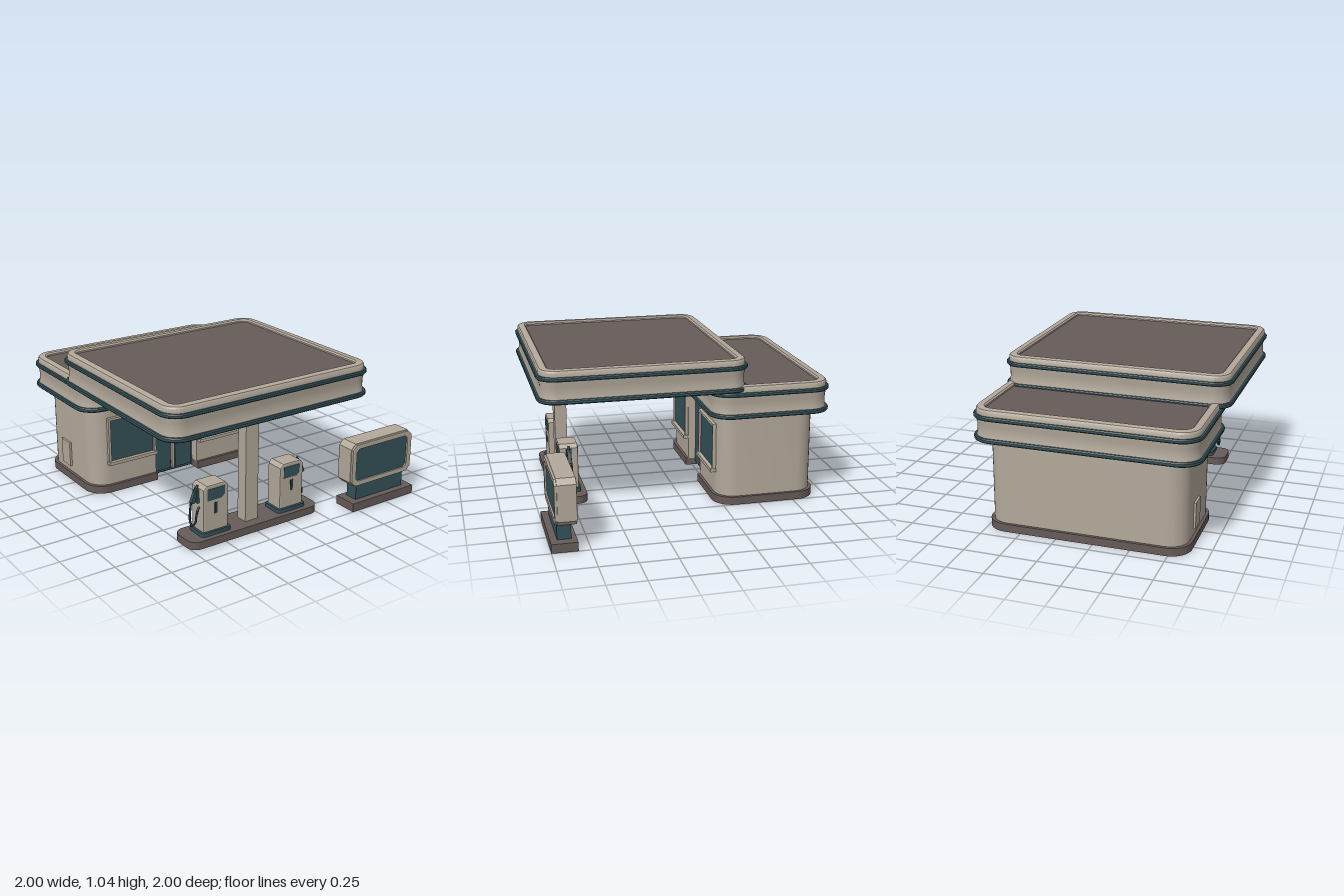
import * as THREE from 'three';
import { toCreasedNormals } from 'three/addons/utils/BufferGeometryUtils.js';

const mat = (name, color, double) => {
  const m = new THREE.MeshStandardMaterial({ color });
  m.name = name;
  if (double) m.side = THREE.DoubleSide;
  return m;
};

export function createModel() {
  const cream = mat('cream', 0xb3a99b);
  const teal = mat('teal', 0x345259);
  const grey = mat('warmGrey', 0x665b58);
  const dark = mat('darkTeal', 0x20343a);
  const root = new THREE.Group();
  root.name = 'fuelStation';

  const add = (parent, name, geo, material, x = 0, y = 0, z = 0) => {
    const m = new THREE.Mesh(geo, material);
    m.name = name;
    m.position.set(x, y, z);
    parent.add(m);
    return m;
  };
  // Box given by its limits
  const box = (parent, name, material, x0, x1, y0, y1, z0, z1) =>
    add(parent, name, new THREE.BoxGeometry(x1 - x0, y1 - y0, z1 - z0), material,
      (x0 + x1) / 2, (y0 + y1) / 2, (z0 + z1) / 2);

  // Outline of a rounded rectangle in plan, with outward normals
  const outline = ({ x0, x1, z0, z1, r }) => {
    const pts = [];
    [[x1 - r, z0 + r], [x0 + r, z0 + r], [x0 + r, z1 - r], [x1 - r, z1 - r]].forEach(([cx, cz], q) => {
      for (let i = 0; i <= 8; i++) {
        const a = (q + i / 8) * Math.PI / 2, nx = Math.cos(a), nz = -Math.sin(a);
        pts.push({ x: cx + r * nx, z: cz + r * nz, nx, nz });
      }
    });
    return pts;
  };

  // Sweep a profile of [outset, y] around a rounded rectangle
  const sweep = (parent, name, material, plan, profile) => {
    const pts = outline(plan), n = pts.length, k = profile.length, pos = [], idx = [];
    for (const p of pts) for (const [o, y] of profile) pos.push(p.x + p.nx * o, y, p.z + p.nz * o);
    for (let i = 0; i < n; i++) for (let j = 0; j < k - 1; j++) {
      const a = i * k + j, b = ((i + 1) % n) * k + j;
      idx.push(a, b, a + 1, b, b + 1, a + 1);
    }
    const g = new THREE.BufferGeometry();
    g.setAttribute('position', new THREE.Float32BufferAttribute(pos, 3));
    g.setIndex(idx);
    return add(parent, name, toCreasedNormals(g, 0.6), material);
  };

  // Upright slab with rounded plan and an optional notch in its front edge
  const slab = (parent, name, material, plan, y0, y1, notch) => {
    const pts = outline(plan).map(p => new THREE.Vector2(p.x, -p.z));
    if (notch) {
      const [a, b, z] = notch;
      pts.splice(27, 0, new THREE.Vector2(a, -plan.z1), new THREE.Vector2(a, -z),
        new THREE.Vector2(b, -z), new THREE.Vector2(b, -plan.z1));
    }
    const g = new THREE.ExtrudeGeometry(new THREE.Shape(pts), { depth: y1 - y0, bevelEnabled: false });
    g.rotateX(-Math.PI / 2);
    return add(parent, name, toCreasedNormals(g, 0.6), material, 0, y0, 0);
  };

  // Rectangle with cut corners, centred on the origin
  const cutRect = (w, h, c, cb = c, Type = THREE.Shape) => new Type([
    [-w / 2 + cb, -h / 2], [w / 2 - cb, -h / 2], [w / 2, -h / 2 + cb], [w / 2, h / 2 - c],
    [w / 2 - c, h / 2], [-w / 2 + c, h / 2], [-w / 2, h / 2 - c], [-w / 2, -h / 2 + cb],
  ].map(p => new THREE.Vector2(...p)));
  const extrude = (shape, depth, bevel = 0) => new THREE.ExtrudeGeometry(shape, {
    depth: depth - 2 * bevel, bevelEnabled: bevel > 0, bevelSize: bevel, bevelThickness: bevel,
    bevelOffset: -bevel, bevelSegments: 2,
  }).translate(0, 0, bevel);

  // Roof: fascia with two trim bands, raised rim and sunken deck
  const roof = (name, plan, y) => {
    const g = new THREE.Group();
    g.name = name;
    root.add(g);
    sweep(g, 'fascia', cream, plan, [[-0.03, y + 0.01], [-0.018, y + 0.03], [-0.024, y + 0.06],
      [-0.024, y + 0.11], [-0.016, y + 0.145], [-0.016, y + 0.17]]);
    for (const [ty, h] of [[0, 0.03], [0.15, 0.028]])
      sweep(g, 'trimBand', teal, plan, [[-0.04, y + ty], [-0.006, y + ty], [0, y + ty + 0.007],
        [0, y + ty + h - 0.007], [-0.006, y + ty + h], [-0.04, y + ty + h]]);
    sweep(g, 'rim', cream, plan, [[-0.018, y + 0.175], [-0.018, y + 0.205], [-0.026, y + 0.217],
      [-0.035, y + 0.22], [-0.07, y + 0.22], [-0.08, y + 0.21], [-0.08, y + 0.19]]);
    const inset = o => ({ x0: plan.x0 + o, x1: plan.x1 - o, z0: plan.z0 + o, z1: plan.z1 - o, r: plan.r - o });
    slab(g, 'soffit', cream, inset(0.035), y + 0.004, y + 0.03);
    slab(g, 'roofDeck', grey, inset(0.076), y + 0.15, y + 0.2);
  };
  roof('canopy', { x0: -1, x1: 0.58, z0: -0.41, z1: 1, r: 0.13 }, 0.82);
  roof('shopRoof', { x0: -0.95, x1: 0.57, z0: -1, z1: -0.15, r: 0.15 }, 0.635);

  // Shop walls, plinth and entrance recess
  const shop = new THREE.Group();
  shop.name = 'shop';
  root.add(shop);
  slab(shop, 'walls', cream, { x0: -0.855, x1: 0.48, z0: -0.905, z1: -0.22, r: 0.13 }, 0.05, 0.645, [-0.36, -0.01, -0.3]);
  slab(shop, 'plinth', grey, { x0: -0.875, x1: 0.5, z0: -0.925, z1: -0.2, r: 0.14 }, 0, 0.055, [-0.36, -0.01, -0.3]);
  box(shop, 'entrance', teal, -0.36, -0.01, 0.01, 0.64, -0.31, -0.285);
  for (const s of [-1, 1]) {
    box(shop, 'doorLeaf', teal, -0.185 + s * 0.09 - 0.07, -0.185 + s * 0.09 + 0.07, 0.03, 0.63, -0.29, -0.27);
    box(shop, 'doorHandle', cream, -0.185 + s * 0.034 - 0.005, -0.185 + s * 0.034 + 0.005, 0.25, 0.38, -0.27, -0.258);
  }
  box(shop, 'doorMullion', cream, -0.195, -0.175, 0.03, 0.64, -0.29, -0.265);
  box(shop, 'wallHatch', cream, -0.87, -0.85, 0.1, 0.28, -0.69, -0.57);

  // Shop windows
  for (const cx of [-0.56, 0.195]) {
    const w = new THREE.Group();
    w.name = 'window';
    w.position.set(cx, 0.385, -0.222);
    shop.add(w);
    const ring = cutRect(0.38, 0.34, 0);
    ring.holes.push(cutRect(0.345, 0.305, 0, 0, THREE.Path));
    add(w, 'windowFrame', extrude(ring, 0.025), cream);
    box(w, 'windowGlass', teal, -0.175, 0.175, -0.155, 0.155, 0.002, 0.01);
    box(w, 'windowSill', cream, -0.195, 0.195, -0.175, -0.152, 0, 0.038);
  }

  // Pump island and canopy column
  slab(root, 'pumpIsland', grey, { x0: -0.765, x1: 0.255, z0: 0.645, z1: 0.875, r: 0.07 }, 0.01, 0.063);
  box(root, 'column', cream, -0.31, -0.21, 0.06, 0.83, 0.72, 0.805);

  // Pumps, with the hose on the outer side
  for (const [cx, side] of [[-0.555, -1], [0.05, 1]]) {
    const p = new THREE.Group();
    p.name = 'pump';
    p.position.set(cx, 0, 0.76);
    root.add(p);
    slab(p, 'pumpFoot', teal, { x0: -0.112, x1: 0.112, z0: -0.08, z1: 0.08, r: 0.02 }, 0.06, 0.09);
    add(p, 'pumpBody', extrude(cutRect(0.19, 0.325, 0.025, 0.004), 0.13, 0.008), cream, 0, 0.2425, -0.065);
    const screen = new THREE.Shape([[-0.065, -0.04], [0.04, -0.04], [0.065, -0.018], [0.065, 0.038], [-0.065, 0.038]]
      .map(q => new THREE.Vector2(...q)));
    for (const turn of [0, Math.PI]) {
      const f = new THREE.Group();
      f.name = 'pumpFace';
      f.rotation.y = turn;
      p.add(f);
      add(f, 'screen', extrude(screen, 0.005), teal, 0, 0.342, 0.0635);
      box(f, 'cardSlot', dark, -0.011, 0.011, 0.205, 0.28, 0.063, 0.068);
    }
    // Holster, nozzle and hanging hose
    box(p, 'holster', teal, side * 0.102 - 0.009, side * 0.102 + 0.009, 0.28, 0.375, -0.018, 0.018);
    const nozzle = add(p, 'nozzle', new THREE.BoxGeometry(0.024, 0.09, 0.026), teal, side * 0.124, 0.325, 0);
    nozzle.rotation.z = side * 0.4;
    const spout = add(p, 'spout', new THREE.CylinderGeometry(0.007, 0.007, 0.05, 8), dark, side * 0.108, 0.375, 0);
    spout.rotation.z = side * 0.6;
    const path = new THREE.CatmullRomCurve3([[0.138, 0.29, -0.01], [0.142, 0.24, -0.014], [0.148, 0.16, -0.01],
      [0.14, 0.128, 0.004], [0.126, 0.15, 0.018], [0.118, 0.2, 0.02], [0.105, 0.24, 0.018], [0.09, 0.25, 0.016]]
      .map(([x, y, z]) => new THREE.Vector3(side * x, y, z)));
    add(p, 'hose', new THREE.TubeGeometry(path, 32, 0.007, 8), dark);
  }

  // Roadside sign
  const sign = new THREE.Group();
  sign.name = 'sign';
  root.add(sign);
  box(sign, 'signBase', grey, 0.45, 1, 0, 0.06, 0.83, 1);
  box(sign, 'signPedestal', teal, 0.51, 0.935, 0.055, 0.175, 0.865, 0.955);
  add(sign, 'signBoard', extrude(cutRect(0.545, 0.31, 0.035), 0.125, 0.006), cream, 0.7225, 0.32, 0.83);
  const frame = cutRect(0.535, 0.3, 0.033);
  frame.holes.push(cutRect(0.465, 0.235, 0.022, 0.022, THREE.Path));
  add(sign, 'signFrame', extrude(frame, 0.02), cream, 0.7225, 0.32, 0.95);
  add(sign, 'signPanel', extrude(cutRect(0.47, 0.24, 0.022), 0.006), teal, 0.7225, 0.32, 0.953);

  return root;
}
